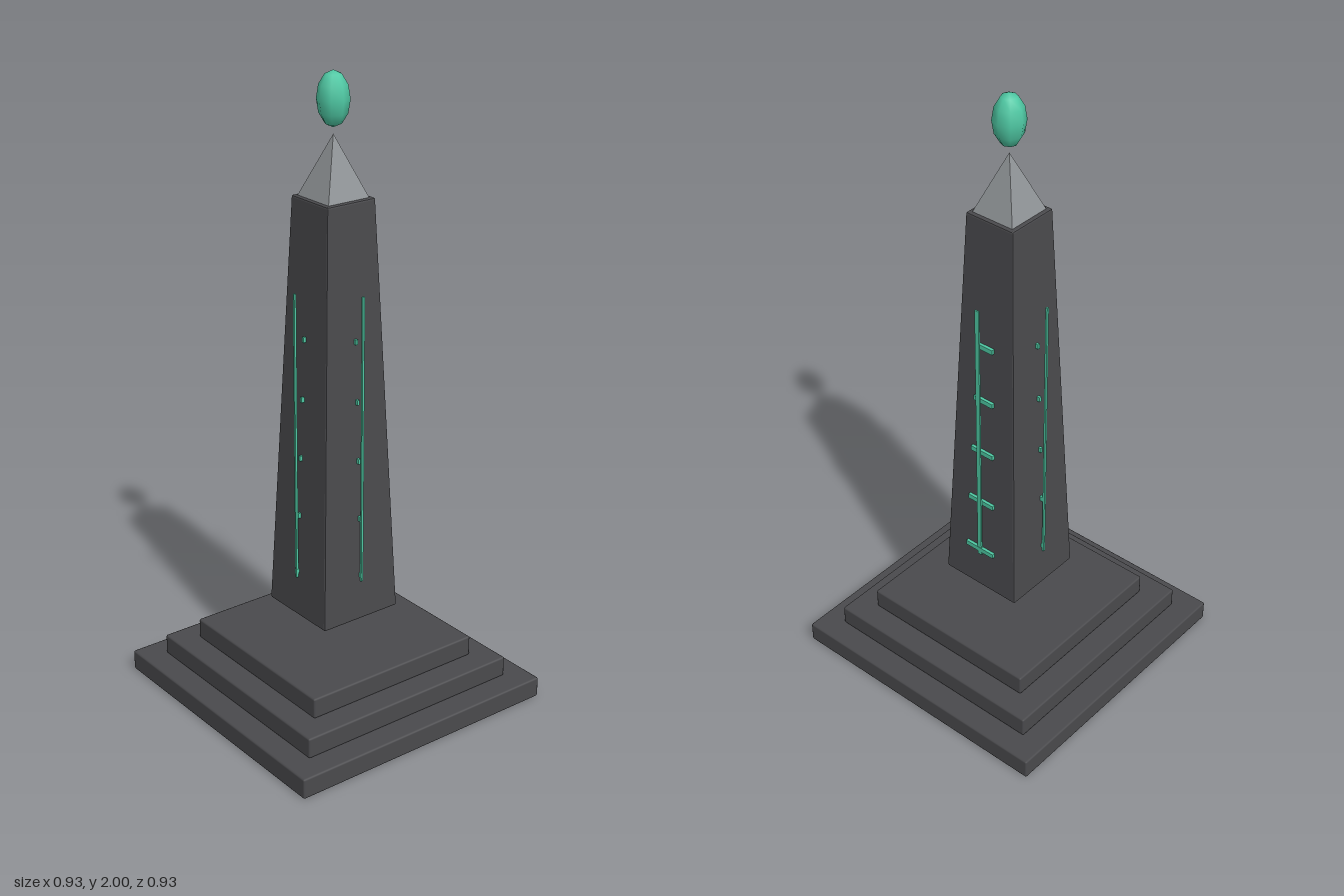
import * as THREE from 'three';
import { RoundedBoxGeometry } from 'three/addons/geometries/RoundedBoxGeometry.js';

export function createModel() {
  const model = new THREE.Group();
  model.name = 'floatingObelisk';

  const material = (name, color) => {
    const m = new THREE.MeshStandardMaterial({ color });
    m.name = name;
    return m;
  };
  const stone = material('dark stone', 0x4a4a4d);
  const metal = material('pale metal', 0x8f9396);
  const glow = material('green crystal', 0x4fc9a4);

  const add = (name, geometry, mat, x = 0, y = 0, z = 0, parent = model) => {
    const mesh = new THREE.Mesh(geometry, mat);
    mesh.name = name;
    mesh.position.set(x, y, z);
    parent.add(mesh);
    return mesh;
  };

  // Three stacked plinth steps
  [0.467, 0.389, 0.31].forEach((half, i) => {
    add('plinthStep' + (i + 1), new RoundedBoxGeometry(half * 2, 0.067, half * 2, 1, 0.006),
      stone, 0, 0.0335 + i * 0.067, 0);
  });

  // Tapered shaft hovering above the plinth: a rounded box narrowed with height
  const bottom = 0.298, top = 1.63, height = top - bottom;
  const halfAt = y => 0.143 + (0.087 - 0.143) * (y - bottom) / height;
  const shaft = new RoundedBoxGeometry(0.286, height, 0.286, 1, 0.006);
  const p = shaft.attributes.position;
  for (let i = 0; i < p.count; i++) {
    const s = halfAt(p.getY(i) + (top + bottom) / 2) / 0.143;
    p.setX(i, p.getX(i) * s);
    p.setZ(i, p.getZ(i) * s);
  }
  shaft.computeVertexNormals();
  add('shaft', shaft, stone, 0, (top + bottom) / 2, 0);

  // Four-sided cap
  const cap = new THREE.ConeGeometry(0.075 * Math.SQRT2, 0.187, 4).toNonIndexed();
  cap.rotateY(Math.PI / 4);
  cap.computeVertexNormals();
  add('pyramidCap', cap, metal, 0, 1.7215, 0);

  // Floating crystal
  const crystal = new THREE.SphereGeometry(0.05, 8, 6);
  crystal.scale(1, 1.66, 1);
  add('floatingCrystal', crystal, glow, 0, 1.917, 0);

  // A vertical rune line with five marks on each face; the left face has wide marks
  for (let side = 0; side < 4; side++) {
    const rune = new THREE.Group();
    rune.name = 'runeLine' + (side + 1);
    rune.rotation.y = side * Math.PI / 2;
    model.add(rune);
    const wide = side === 0;
    add('runeStem', new THREE.BoxGeometry(wide ? 0.005 : 0.007, 0.93, wide ? 0.015 : 0.007),
      glow, 0.143, 0.895, 0, rune);
    for (let i = 0; i < 5; i++) {
      const y = 0.45 + i * 0.19;
      add('runeMark' + (i + 1), new THREE.BoxGeometry(0.01, 0.016, wide ? 0.11 - i * 0.012 : 0.008),
        glow, halfAt(y) + 0.005, y, 0, rune);
    }
  }
  return model;
}
